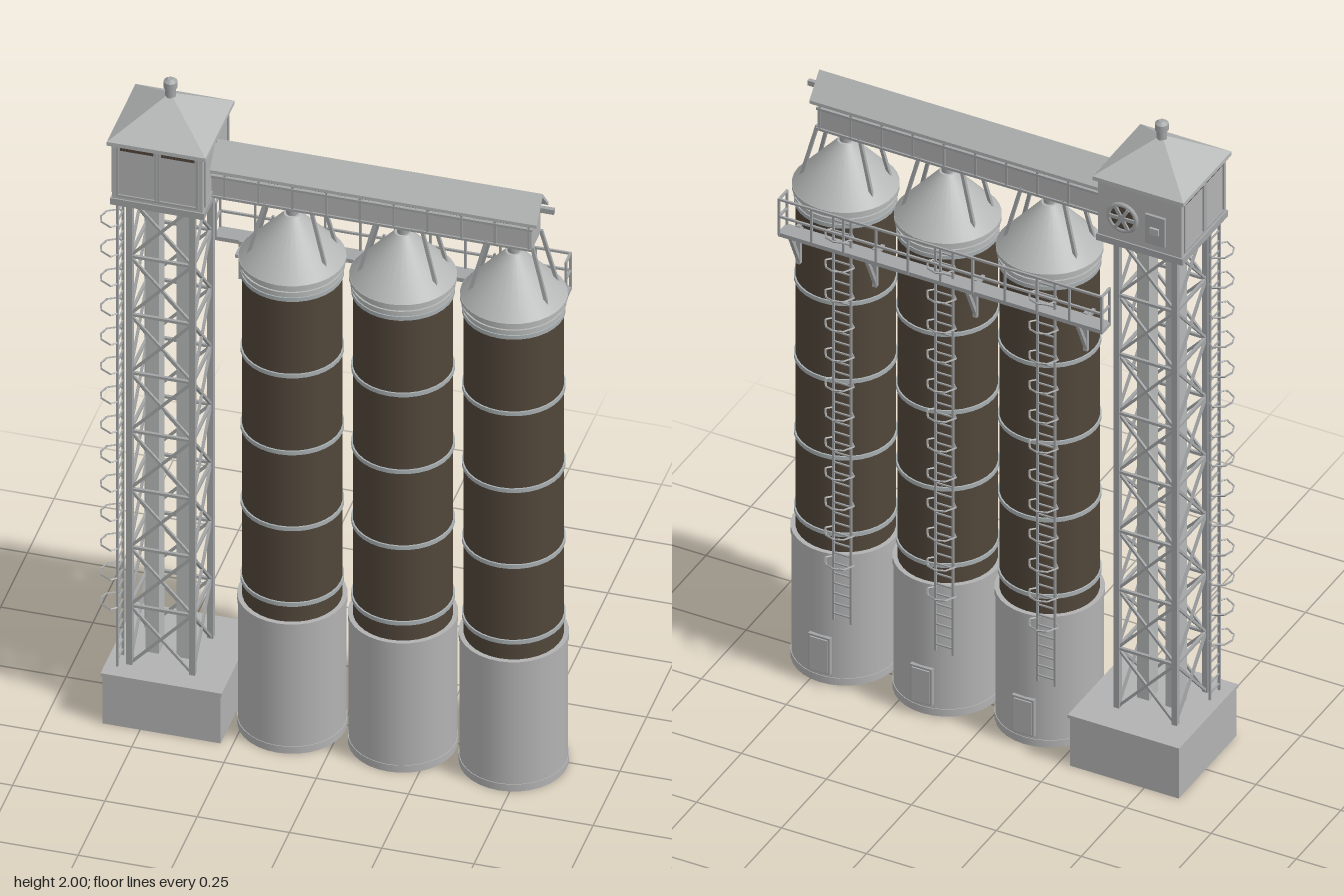
import * as THREE from 'three';
import { mergeGeometries } from 'three/addons/utils/BufferGeometryUtils.js';

const mat = (name, color, side = THREE.FrontSide) => {
  const m = new THREE.MeshStandardMaterial({ color, side });
  m.name = name;
  return m;
};
const V = (x, y, z) => new THREE.Vector3(x, y, z);

// square bar between two points
function bar(a, b, w = 0.008, d = w) {
  const dir = b.clone().sub(a);
  const g = new THREE.BoxGeometry(w, dir.length(), d);
  g.applyQuaternion(new THREE.Quaternion().setFromUnitVectors(V(0, 1, 0), dir.normalize()));
  return g.translate((a.x + b.x) / 2, (a.y + b.y) / 2, (a.z + b.z) / 2);
}
// box given by its limits
function box(x0, x1, y0, y1, z0, z1) {
  return new THREE.BoxGeometry(x1 - x0, y1 - y0, z1 - z0)
    .translate((x0 + x1) / 2, (y0 + y1) / 2, (z0 + z1) / 2);
}
function cyl(r, y0, y1, n = 32, rTop = r) {
  return new THREE.CylinderGeometry(rTop, r, y1 - y0, n).translate(0, (y0 + y1) / 2, 0);
}

export function createModel() {
  const root = new THREE.Group();
  const concrete = mat('light grey concrete', 0xb2b2b2);
  const steel = mat('grey steel', 0xa3a5a6);
  const sheet = mat('roof sheet', 0xb6b8b8);
  const brown = mat('dark brown cladding', 0x51463a);
  const band = mat('pale band', 0xa9b0b2);

  const add = (parent, name, material, ...geos) => {
    const mesh = new THREE.Mesh(geos.length > 1 ? mergeGeometries(geos) : geos[0], material);
    mesh.name = name;
    parent.add(mesh);
    return mesh;
  };
  const group = (name, x = 0, y = 0, z = 0) => {
    const g = new THREE.Group();
    g.name = name;
    g.position.set(x, y, z);
    root.add(g);
    return g;
  };

  // caged ladder: climbs in y, hoops bulge towards -z
  function cagedLadder(parent, y0, y1, hoop0, hoop1) {
    const g = new THREE.Group();
    g.name = 'cagedLadder';
    parent.add(g);
    const bars = [];
    for (const s of [-1, 1]) bars.push(bar(V(s * 0.026, y0, 0), V(s * 0.026, y1, 0), 0.006));
    for (let y = y0 + 0.02; y < y1; y += 0.032) bars.push(bar(V(-0.026, y, 0), V(0.026, y, 0), 0.004));
    add(g, 'ladder', steel, ...bars);
    const pts = [[-0.028, 0], [-0.042, -0.014], [-0.025, -0.044], [0, -0.052], [0.025, -0.044], [0.042, -0.014], [0.028, 0]];
    const cage = [];
    for (let y = hoop0; y <= hoop1 + 0.001; y += 0.0945)
      for (let i = 0; i < 6; i++)
        cage.push(bar(V(pts[i][0], y, pts[i][1]), V(pts[i + 1][0], y, pts[i + 1][1]), 0.004));
    add(g, 'safetyCage', steel, ...cage);
    return g;
  }

  const CZ = 0.025;

  // three silos
  for (const x of [-0.13, 0.17, 0.47]) {
    const silo = group('silo', x, 0, CZ);
    add(silo, 'siloBase', concrete, cyl(0.142, 0, 0.405), cyl(0.144, 0, 0.022), cyl(0.144, 0.395, 0.415));
    add(silo, 'siloBarrel', brown, cyl(0.131, 0.41, 1.45));
    add(silo, 'hoopBands', band, ...[0.472, 0.715, 0.959, 1.206, 1.452].map(y => cyl(0.1355, y - 0.006, y + 0.006)));
    add(silo, 'topRing', sheet, cyl(0.132, 1.45, 1.492), cyl(0.137, 1.468, 1.476));
    const roof = [[0, 1.488], [0.141, 1.488], [0.141, 1.5]].map(p => new THREE.Vector2(...p));
    add(silo, 'eave', sheet, cyl(0.141, 1.488, 1.5));
    add(silo, 'coneRoof', sheet, cyl(0.14, 1.5, 1.635, 32, 0.022));
    add(silo, 'filler', steel, cyl(0.016, 1.62, 1.68, 16), cyl(0.022, 1.652, 1.665, 16));
    // struts carrying the gallery
    const struts = [];
    for (const sx of [-1, 1]) for (const sz of [-1, 1])
      struts.push(bar(V(sx * 0.11, 1.495, sz * 0.052), V(sx * 0.062, 1.685, sz * 0.04), 0.009));
    add(silo, 'galleryStruts', steel, ...struts);
    // inspection door at the back
    add(silo, 'doorFrame', steel, box(-0.032, 0.032, 0.035, 0.15, -0.15, -0.13));
    add(silo, 'door', concrete, box(-0.026, 0.026, 0.041, 0.144, -0.154, -0.149));
    cagedLadder(silo, 0.22, 1.5, 0.42, 1.46).position.set(-0.07, 0, -0.152);
  }

  // service walkway behind the silos
  const walk = group('walkway');
  add(walk, 'deck', steel, box(-0.38, 0.575, 1.405, 1.417, -0.155, -0.107));
  const rails = [];
  for (const y of [1.468, 1.522]) {
    rails.push(bar(V(-0.38, y, -0.153), V(0.575, y, -0.153), 0.006));
    for (const x of [-0.377, 0.572]) rails.push(bar(V(x, y, -0.153), V(x, y, -0.107), 0.006));
  }
  for (let i = 0; i <= 10; i++) {
    const x = -0.377 + i * 0.0949;
    rails.push(bar(V(x, 1.41, -0.153), V(x, 1.525, -0.153), 0.006));
  }
  for (const x of [-0.377, 0.572]) rails.push(bar(V(x, 1.41, -0.11), V(x, 1.525, -0.11), 0.006));
  add(walk, 'railing', steel, ...rails);
  const brackets = [];
  for (const x of [-0.305, 0.02, 0.315, 0.54]) brackets.push(
    bar(V(x, 1.3, -0.104), V(x, 1.42, -0.104), 0.012),
    bar(V(x, 1.31, -0.104), V(x, 1.405, -0.148), 0.01),
    bar(V(x, 1.4, -0.15), V(x, 1.4, -0.06), 0.01));
  add(walk, 'brackets', steel, ...brackets);

  // conveyor gallery
  const gal = group('conveyorGallery', 0, 0, CZ);
  add(gal, 'trough', concrete, box(-0.34, 0.53, 1.675, 1.742, -0.043, 0.043));
  add(gal, 'conveyorCore', brown, box(-0.34, 0.525, 1.74, 1.785, -0.034, 0.034));
  const ribs = [];
  for (let i = 0; i <= 9; i++) {
    const x = -0.3 + i * 0.0915;
    for (const s of [-1, 1]) ribs.push(bar(V(x, 1.675, s * 0.043), V(x, 1.768, s * 0.043), 0.006));
  }
  for (const s of [-1, 1]) for (const y of [1.678, 1.742])
    ribs.push(bar(V(-0.34, y, s * 0.044), V(0.533, y, s * 0.044), 0.007));
  add(gal, 'troughRibs', steel, ...ribs);
  const gable = new THREE.Shape([[0.055, 1.758], [0.055, 1.768], [0, 1.832], [-0.055, 1.768], [-0.055, 1.758], [0, 1.82]]
    .map(p => new THREE.Vector2(...p)));
  const gableGeo = new THREE.ExtrudeGeometry(gable, { depth: 0.885, bevelEnabled: false });
  add(gal, 'gableRoof', sheet, gableGeo.rotateY(Math.PI / 2).translate(-0.337, 0, 0));
  add(gal, 'ridgeBeam', steel, box(0.5, 0.58, 1.775, 1.79, -0.006, 0.006), box(0.516, 0.528, 1.74, 1.815, -0.006, 0.006));

  // elevator tower
  const tower = group('elevatorTower', -0.46, 0, CZ);
  add(tower, 'plinth', concrete, box(-0.142, 0.178, 0, 0.155, -0.175, 0.146));
  add(tower, 'plinthCap', concrete, box(-0.146, 0.182, 0.153, 0.163, -0.18, 0.15));
  const H = 0.085, Y0 = 0.163, BAY = 0.187;
  const posts = [], braces = [];
  for (const a of [0, 1, 2, 3]) {
    const side = [];
    posts.push(bar(V(H, Y0, H), V(H, 1.665, H), 0.016).rotateY(a * Math.PI / 2));
    for (let i = 0; i < 8; i++) {
      const y = Y0 + i * BAY;
      side.push(bar(V(-H, y, H), V(H, y + BAY, H), 0.007), bar(V(H, y, H), V(-H, y + BAY, H), 0.007));
      side.push(bar(V(-H, y + BAY, H), V(H, y + BAY, H), 0.008));
    }
    braces.push(...side.map(g => g.rotateY(a * Math.PI / 2)));
  }
  add(tower, 'posts', steel, ...posts);
  add(tower, 'crossBracing', steel, ...braces);
  add(tower, 'elevatorLegs', sheet, ...[-1, 1].map(s => box(s * 0.042 - 0.018, s * 0.042 + 0.018, Y0, 1.67, -0.025, 0.025)));
  const towerLadder = cagedLadder(tower, Y0, 1.665, 0.352, 1.6);
  towerLadder.position.set(-0.113, 0, 0.08);
  towerLadder.rotation.y = Math.PI / 2;

  // head house
  const house = group('headHouse', -0.46, 0, CZ);
  add(house, 'walls', concrete, box(-0.123, 0.123, 1.665, 1.86, -0.123, 0.123));
  add(house, 'floorRim', steel, box(-0.127, 0.127, 1.658, 1.678, -0.127, 0.127));
  // framed wall panels on the front and both sides
  const frames = [], slits = [];
  for (const a of [0, 1, 3]) {
    const f = [];
    for (const x of [-0.108, -0.004, 0.004, 0.108]) f.push(bar(V(x, 1.69, 0.124), V(x, 1.845, 0.124), 0.006));
    for (const y of [1.69, 1.848]) f.push(bar(V(-0.111, y, 0.124), V(0.111, y, 0.124), 0.006));
    frames.push(...f.map(g => g.rotateY(a * Math.PI / 2)));
    for (const s of [-1, 1])
      slits.push(box(s * 0.056 - 0.045, s * 0.056 + 0.045, 1.834, 1.844, 0.12, 0.125).rotateY(a * Math.PI / 2));
  }
  add(house, 'panelFrames', steel, ...frames);
  add(house, 'ventSlits', brown, ...slits);
  add(house, 'roofEdge', sheet, box(-0.134, 0.134, 1.85, 1.862, -0.134, 0.134));
  const pyramid = new THREE.ConeGeometry(0.134 * Math.SQRT2, 0.093, 4).rotateY(Math.PI / 4).toNonIndexed();
  pyramid.computeVertexNormals();
  add(house, 'pyramidRoof', sheet, pyramid.translate(0, 1.908, 0));
  add(house, 'roofVent', steel, cyl(0.014, 1.935, 1.982, 16), cyl(0.018, 1.972, 1.992, 16), cyl(0.018, 1.992, 2, 16, 0.008));
  // fan and hatch on the back wall
  const fan = new THREE.Group();
  fan.name = 'fan';
  fan.position.set(0.05, 1.752, -0.124);
  house.add(fan);
  add(fan, 'fanRing', steel, new THREE.TorusGeometry(0.04, 0.007, 8, 24));
  add(fan, 'fanDisc', brown, new THREE.CylinderGeometry(0.036, 0.036, 0.006, 24).rotateX(Math.PI / 2));
  add(fan, 'fanBlades', steel, ...[0, 1, 2].map(i => new THREE.BoxGeometry(0.074, 0.01, 0.006)
    .rotateZ(i * Math.PI / 3).translate(0, 0, -0.005)));
  add(house, 'hatch', steel, box(-0.077, -0.019, 1.7, 1.79, -0.131, -0.12));
  add(house, 'hatchHandle', concrete, box(-0.061, -0.035, 1.735, 1.755, -0.138, -0.13));

  return root;
}
